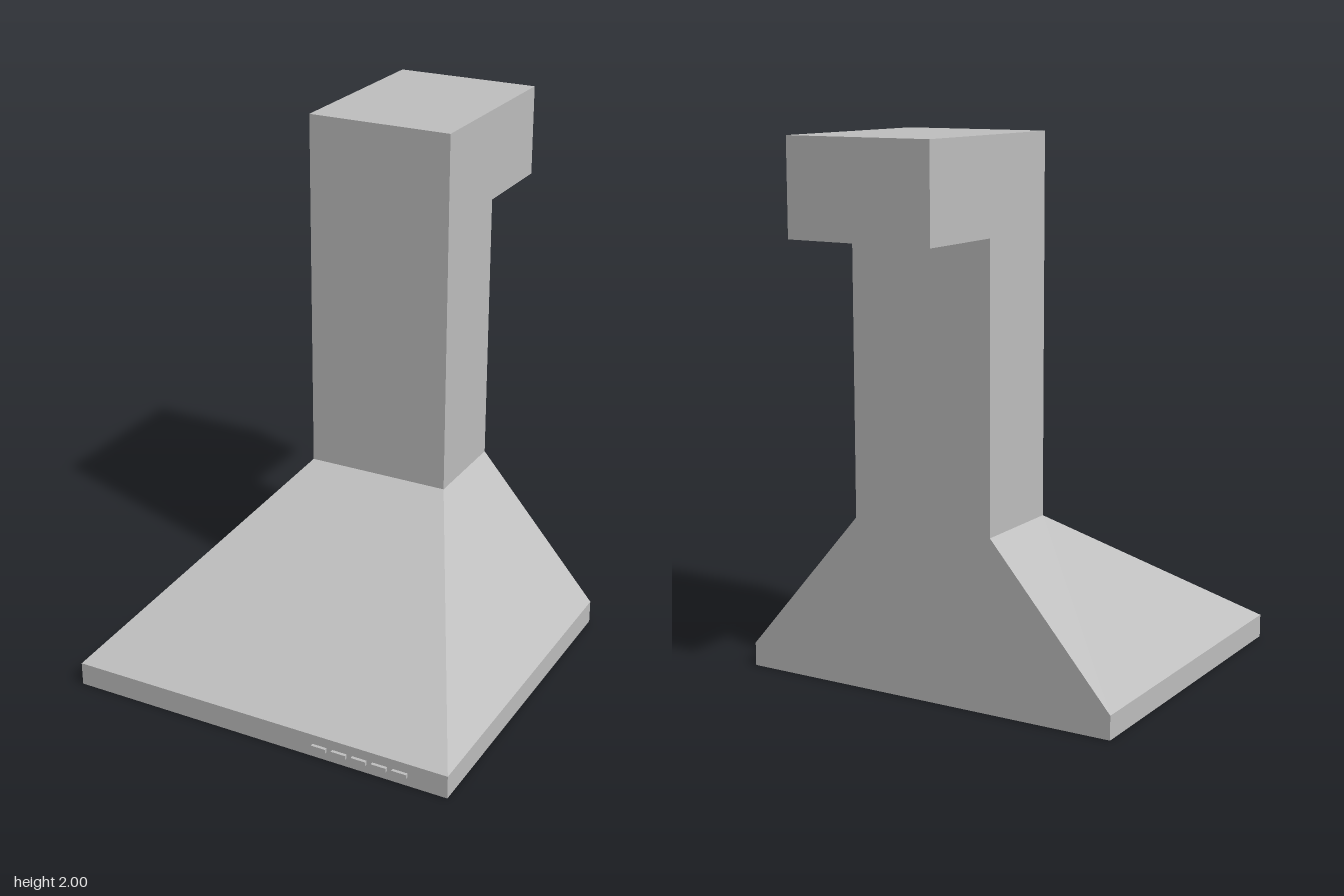
import * as THREE from 'three';

const steel = new THREE.MeshStandardMaterial({ color: 0xc0c0c0 });
steel.name = 'brushed steel grey';

const BACK = -0.47;

// A rectangular cross-section: half width, back z, front z, height
const corners = ([w, zb, zf, y]) => [[-w, y, zf], [w, y, zf], [w, y, zb], [-w, y, zb]];

// Flat-faced skin through a list of rectangular cross-sections
function loft(sections) {
  const pos = [];
  for (let i = 0; i < sections.length - 1; i++) {
    const lo = corners(sections[i]), hi = corners(sections[i + 1]);
    for (let j = 0; j < 4; j++) {
      const k = (j + 1) % 4;
      pos.push(...lo[j], ...lo[k], ...hi[k], ...lo[j], ...hi[k], ...hi[j]);
    }
  }
  const g = new THREE.BufferGeometry();
  g.setAttribute('position', new THREE.Float32BufferAttribute(pos, 3));
  g.computeVertexNormals();
  return g;
}

export function createModel() {
  const model = new THREE.Group();
  model.name = 'cookerHood';
  const add = (name, geometry) => {
    const mesh = new THREE.Mesh(geometry, steel);
    mesh.name = name;
    model.add(mesh);
    return mesh;
  };

  const rimBottom = [0.747, BACK, 0.823, 0];
  const rimTop = [0.747, BACK, 0.823, 0.088];
  const neck = [0.278, BACK, -0.1, 0.635];
  const mouth = [0.7, BACK + 0.05, 0.775, 0];
  const ceiling = [0.19, BACK + 0.05, -0.08, 0.48];

  // Vertical band and sloping canopy
  add('rimBand', loft([rimBottom, rimTop]));
  add('canopy', loft([rimTop, neck]));

  // Hollow underside: ceiling, sloping inner walls, then the flat lip
  add('hollowUnderside', loft([[0, -0.25, -0.25, 0.48], ceiling, mouth]));
  add('bottomLip', loft([mouth, rimBottom]));

  // Chimney with a duct turning backwards, drawn in side profile (z, y)
  const profile = new THREE.Shape([
    [-0.1, 0.635], [-0.1, 2], [-0.835, 2], [-0.835, 1.66], [BACK, 1.66], [BACK, 0.635],
  ].map(([z, y]) => new THREE.Vector2(-z, y)));
  const chimney = new THREE.ExtrudeGeometry(profile, { depth: 0.556, bevelEnabled: false });
  chimney.translate(0, 0, -0.278);
  chimney.rotateY(Math.PI / 2);
  add('chimneyDuct', chimney);

  // Row of control buttons on the front band
  for (let i = 0; i < 5; i++) {
    add('button' + (i + 1), new THREE.BoxGeometry(0.056, 0.016, 0.014))
      .position.set(0.257 + i * 0.078, 0.043, 0.828);
  }

  return model;
}
